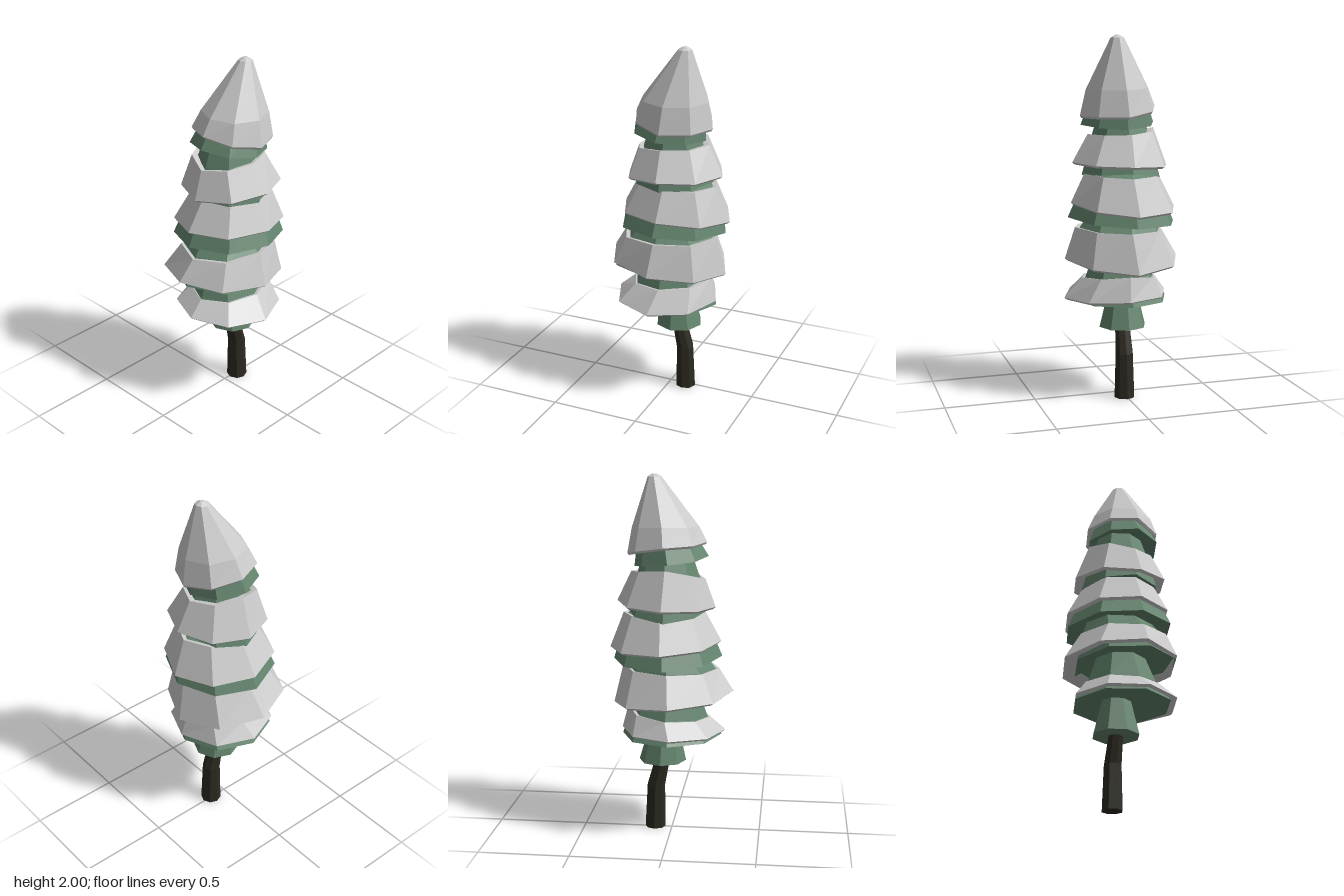
import * as THREE from 'three';

const SIDES = 8;

// One tilted oval ring: extents left, right, front, back, then the height at each of them.
function ring([xl, xr, zf, zb, yl, yr = yl, yf = yl, yb = yf]) {
  return Array.from({ length: SIDES }, (_, i) => {
    const a = (i / SIDES) * Math.PI * 2, s = Math.sin(a), c = Math.cos(a);
    const y = s * s * (s > 0 ? yr : yl) + c * c * (c > 0 ? yf : yb);
    return [(xl + xr) / 2 + s * (xr - xl) / 2, y, (zf + zb) / 2 + c * (zf - zb) / 2];
  });
}

// A round ring at a centre.
const round = (r, y, x, z) => [x - r, x + r, z + r, z - r, y];

// Shrinks a ring towards its centre and lifts it.
function inset(r, k, lift) {
  const cx = (r[0] + r[1]) / 2, cz = (r[2] + r[3]) / 2;
  return [
    cx + (r[0] - cx) * k, cx + (r[1] - cx) * k, cz + (r[2] - cz) * k, cz + (r[3] - cz) * k,
    ...r.slice(4).map((y) => y + lift),
  ];
}

// Skins rings from bottom to top, closing both ends if asked.
function loft(name, material, specs, capped) {
  const rings = specs.map(ring);
  const pos = rings.flat(2), idx = [];
  for (let k = 0; k < rings.length - 1; k++) {
    for (let i = 0; i < SIDES; i++) {
      const j = (i + 1) % SIDES, a = k * SIDES, b = a + SIDES;
      idx.push(a + i, a + j, b + j, a + i, b + j, b + i);
    }
  }
  if (capped) {
    const top = (rings.length - 1) * SIDES;
    for (let i = 1; i < SIDES - 1; i++) idx.push(0, i + 1, i, top, top + i, top + i + 1);
  }
  const g = new THREE.BufferGeometry();
  g.setAttribute('position', new THREE.Float32BufferAttribute(pos, 3));
  g.setIndex(idx);
  const flat = g.toNonIndexed();
  flat.computeVertexNormals();
  const mesh = new THREE.Mesh(flat, material);
  mesh.name = name;
  return mesh;
}

export function createModel() {
  const mat = (color) => new THREE.MeshStandardMaterial({ color, flatShading: true });
  const snow = mat(0xcccccc), green = mat(0x64856e), bark = mat(0x2c2a20);
  const tree = new THREE.Group();
  tree.name = 'snowyTree';

  // Bent trunk
  tree.add(loft('trunk', bark, [
    round(0.058, 0, 0.008, -0.095),
    round(0.05, 0.25, 0.008, -0.09),
    round(0.042, 0.4, 0.008, -0.055),
    round(0.04, 0.5, 0.008, -0.04),
  ], true));

  // Foliage: each tier is a rim that narrows upward to a neck under the next tier
  const foliage = [
    [-0.125, 0.14, 0.08, -0.185, 0.4],
    [-0.08, 0.09, 0.04, -0.13, 0.59],
    // lowest skirt
    [-0.26, 0.29, 0.28, -0.28, 0.55, 0.56, 0.56, 0.55],
    [-0.18, 0.215, 0.2, -0.235, 0.67, 0.67, 0.66, 0.68],
    [-0.13, 0.155, 0.14, -0.17, 0.82],
    // second skirt
    [-0.26, 0.31, 0.32, -0.28, 0.77, 0.785, 0.79, 0.76],
    [-0.22, 0.25, 0.24, -0.255, 0.94],
    [-0.19, 0.2, 0.18, -0.21, 1.02],
    // third skirt
    [-0.3, 0.31, 0.28, -0.325, 0.975, 1.02, 1.01, 0.985],
    [-0.19, 0.21, 0.18, -0.25, 1.24],
    [-0.15, 0.14, 0.13, -0.19, 1.27],
    // fourth skirt
    [-0.22, 0.23, 0.2, -0.25, 1.22, 1.25, 1.265, 1.27],
    [-0.16, 0.18, 0.155, -0.2, 1.44],
    [-0.12, 0.14, 0.11, -0.16, 1.57],
    // top skirt
    [-0.185, 0.23, 0.2, -0.21, 1.53, 1.52, 1.56, 1.5],
    [-0.13, 0.18, 0.13, -0.19, 1.67],
    [0.02, 0.08, -0.06, -0.12, 1.9],
  ];
  tree.add(loft('foliage', green, foliage, true));

  // Snow bands: rim and shoulder, closed inward beneath and above
  const bands = [
    [[-0.26, 0.325, 0.3, -0.285, 0.58, 0.565, 0.58, 0.58],
      [-0.19, 0.23, 0.21, -0.25, 0.67, 0.68, 0.655, 0.71]],
    [[-0.33, 0.32, 0.345, -0.325, 0.775, 0.785, 0.815, 0.735],
      [-0.23, 0.265, 0.265, -0.275, 0.94, 0.96, 0.935, 0.95]],
    [[-0.3, 0.295, 0.275, -0.345, 1.06, 1.1, 1.095, 1.05],
      [-0.2, 0.22, 0.185, -0.27, 1.25, 1.26, 1.255, 1.245]],
    [[-0.255, 0.285, 0.24, -0.305, 1.29, 1.32, 1.28, 1.31],
      [-0.18, 0.195, 0.185, -0.225, 1.5, 1.47, 1.435, 1.475]],
  ];
  bands.forEach(([rim, shoulder], i) => {
    tree.add(loft(`snowBand${i + 1}`, snow, [
      inset(rim, 0.72, 0.03),
      inset(rim, 0.95, -0.012),
      rim,
      shoulder,
      inset(shoulder, 0.75, -0.01),
    ], false));
  });

  // Pointed snow cap
  const capRim = [-0.185, 0.24, 0.19, -0.25, 1.62, 1.57, 1.635, 1.57];
  tree.add(loft('snowCap', snow, [
    inset(capRim, 0.7, 0.03),
    inset(capRim, 0.96, -0.012),
    capRim,
    [-0.14, 0.21, 0.145, -0.225, 1.725, 1.71, 1.72, 1.71],
    round(0.038, 1.985, 0.05, -0.1),
    round(0.012, 2, 0.05, -0.1),
  ], true));

  return tree;
}
